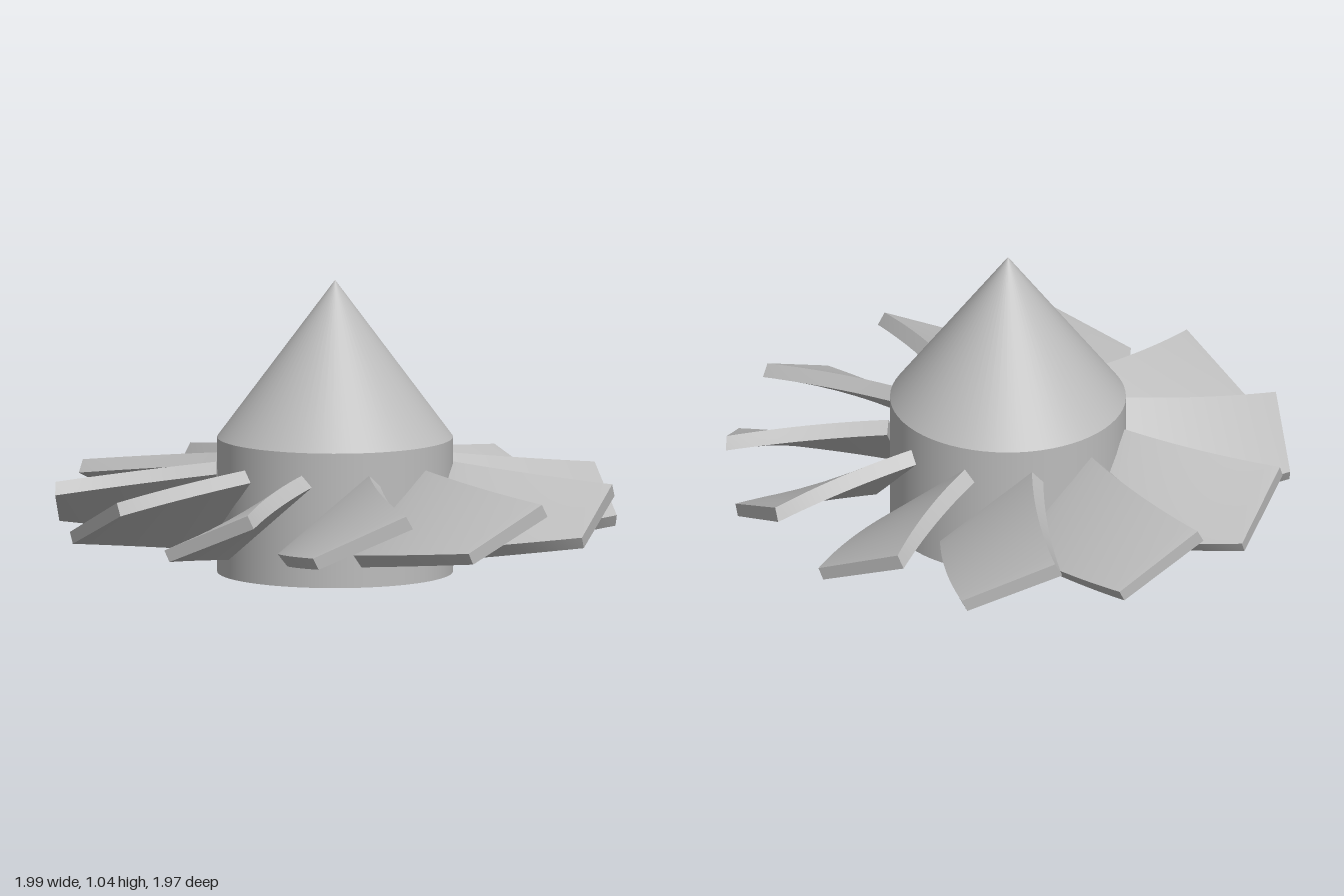
import * as THREE from 'three';

const HUB_R = 0.417, HUB_H = 0.48, CONE_H = 0.56, BLADES = 11;
const ROOT_Z = 0.415, TIP_Z = 0.982, STEPS = 12;

// Blade cross-sections [x, y], counter-clockwise: low bottom, high bottom, high top, low top
const ROOT = [[-0.21, 0.08], [0.12, 0.36], [0.08, 0.4], [-0.245, 0.125]];
const TIP = [[-0.155, 0.15], [0.18, 0.29], [0.155, 0.335], [-0.175, 0.19]];

// Twisted, swept blade pointing along +z; each side has its own vertices so edges stay sharp
function bladeGeometry() {
  const positions = [], index = [];
  const corner = (j, t) => {
    const a = ROOT[j % 4], b = TIP[j % 4];
    return [
      THREE.MathUtils.lerp(a[0], b[0], t * t),
      THREE.MathUtils.lerp(a[1], b[1], t),
      THREE.MathUtils.lerp(ROOT_Z, TIP_Z, t),
    ];
  };
  for (let j = 0; j < 4; j++) {
    const start = positions.length / 3;
    for (let i = 0; i <= STEPS; i++) {
      positions.push(...corner(j, i / STEPS), ...corner(j + 1, i / STEPS));
      if (i === STEPS) continue;
      const a = start + i * 2;
      index.push(a, a + 1, a + 3, a, a + 3, a + 2);
    }
  }
  // Flat ends
  for (const t of [0, 1]) {
    const s = positions.length / 3;
    for (let j = 0; j < 4; j++) positions.push(...corner(j, t));
    if (t) index.push(s, s + 1, s + 2, s, s + 2, s + 3);
    else index.push(s, s + 2, s + 1, s, s + 3, s + 2);
  }
  const geometry = new THREE.BufferGeometry();
  geometry.setAttribute('position', new THREE.Float32BufferAttribute(positions, 3));
  geometry.setIndex(index);
  geometry.computeVertexNormals();
  return geometry;
}

export function createModel() {
  const model = new THREE.Group();
  model.name = 'turbineRotor';
  const metal = new THREE.MeshStandardMaterial({ color: 0xbcbcbc });
  metal.name = 'grey metal';

  const add = (name, geometry, y = 0) => {
    const mesh = new THREE.Mesh(geometry, metal);
    mesh.name = name;
    mesh.position.y = y;
    model.add(mesh);
    return mesh;
  };

  // Hub and pointed nose
  add('hub', new THREE.CylinderGeometry(HUB_R, HUB_R, HUB_H, 64), HUB_H / 2);
  add('noseCone', new THREE.ConeGeometry(HUB_R, CONE_H, 64), HUB_H + CONE_H / 2);

  // Ring of blades
  const blade = bladeGeometry();
  for (let i = 0; i < BLADES; i++) {
    add(`blade${i + 1}`, blade).rotation.y = (i / BLADES) * Math.PI * 2;
  }
  return model;
}
